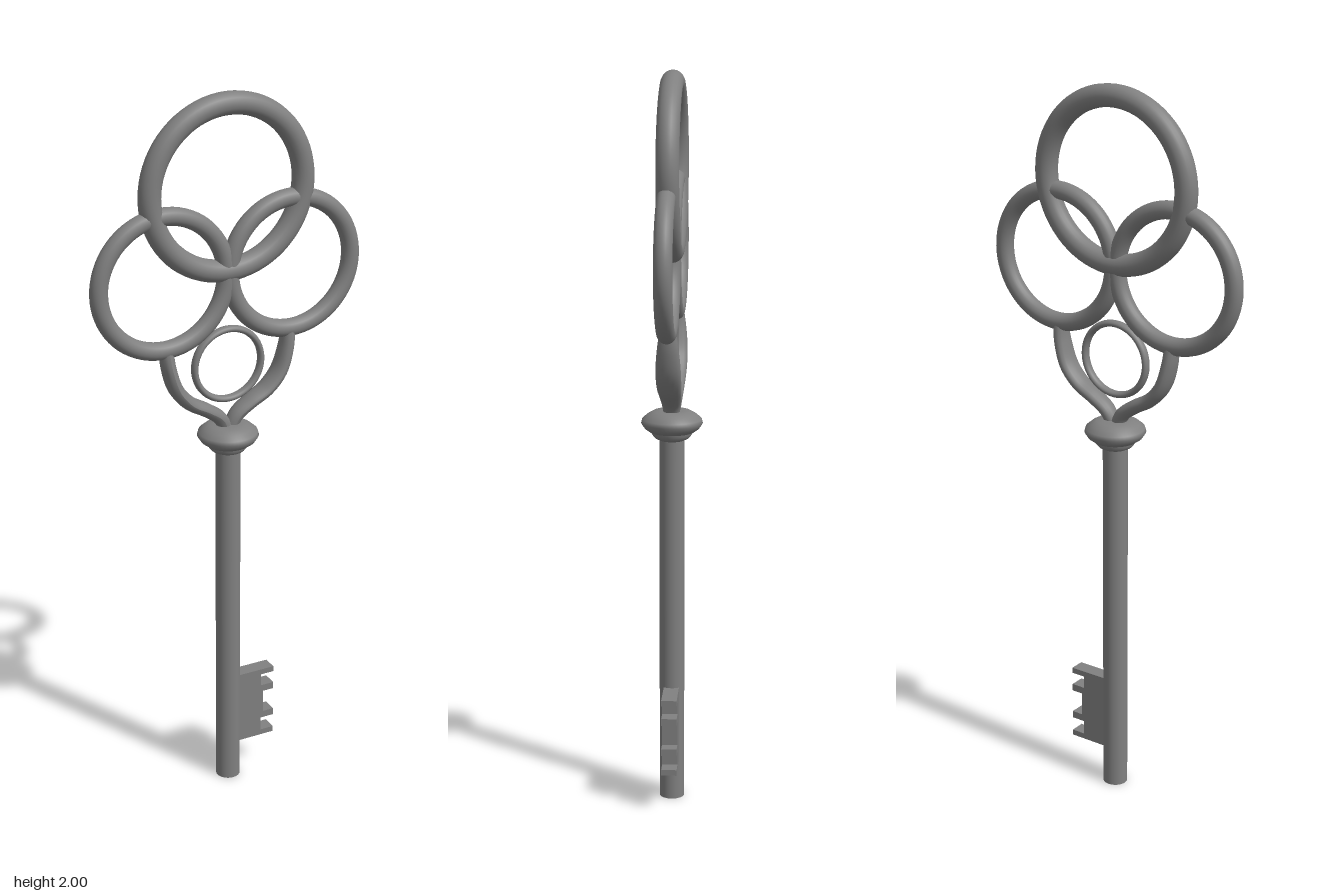
import * as THREE from 'three';

export function createModel() {
  const model = new THREE.Group();
  model.name = 'key';
  const metal = new THREE.MeshStandardMaterial({ color: 0x808080 });
  metal.name = 'grey metal';

  const add = (name, geometry, x = 0, y = 0, z = 0) => {
    const mesh = new THREE.Mesh(geometry, metal);
    mesh.name = name;
    mesh.position.set(x, y, z);
    model.add(mesh);
    return mesh;
  };
  const ring = (name, radius, tube, x, y, z = 0) =>
    add(name, new THREE.TorusGeometry(radius, tube, 20, 72), x, y, z);

  // Bow: three interlocking rings and a thin one inside the neck
  ring('topRing', 0.22, 0.03, 0, 1.75, -0.002);
  ring('leftRing', 0.18, 0.024, 0.186, 1.521);
  ring('rightRing', 0.18, 0.024, -0.186, 1.521);
  ring('smallRing', 0.098, 0.009, 0, 1.27).scale.z = 1.4;

  // Neck arms: curved tubes, deepest halfway along
  for (const side of [1, -1]) {
    const points = [
      [0.181, 1.35], [0.174, 1.29], [0.153, 1.225], [0.115, 1.18],
      [0.065, 1.15], [0.025, 1.12], [0.004, 1.08],
    ].map(([x, y]) => new THREE.Vector3(side * x, y, 0));
    const arm = new THREE.TubeGeometry(new THREE.CatmullRomCurve3(points), 48, 0.019, 16);
    const pos = arm.attributes.position;
    for (let i = 0; i < pos.count; i++) {
      const t = THREE.MathUtils.clamp((pos.getY(i) - 1.09) / 0.26, 0, 1);
      pos.setZ(i, pos.getZ(i) * (1.1 + 0.65 * Math.sin(Math.PI * t)));
    }
    arm.computeVertexNormals();
    add(side > 0 ? 'leftArm' : 'rightArm', arm);
  }

  // Collar: rounded disc above a small step
  const lathe = (pairs) =>
    new THREE.LatheGeometry(pairs.map(([r, y]) => new THREE.Vector2(r, y)), 48);
  add('collar', lathe([
    [0, 1.04], [0.06, 1.043], [0.074, 1.053], [0.083, 1.067],
    [0.08, 1.078], [0.066, 1.09], [0.05, 1.099], [0.03, 1.1], [0, 1.1],
  ]));
  add('collarStep', lathe([
    [0, 1.02], [0.034, 1.02], [0.046, 1.026], [0.054, 1.036], [0.055, 1.05],
  ]));

  // Shaft
  add('shaft', new THREE.CylinderGeometry(0.034, 0.034, 1.04, 40), 0, 0.52, 0);

  // Bit: plate with four teeth
  const outline = [
    [0.02, 0.11], [0.135, 0.11], [0.135, 0.126], [0.095, 0.126],
    [0.095, 0.166], [0.135, 0.166], [0.135, 0.186], [0.102, 0.186],
    [0.102, 0.253], [0.135, 0.253], [0.135, 0.273], [0.095, 0.273],
    [0.095, 0.309], [0.135, 0.309], [0.135, 0.325], [0.02, 0.325],
  ].map(([x, y]) => new THREE.Vector2(x, y));
  add('bit', new THREE.ExtrudeGeometry(new THREE.Shape(outline), {
    depth: 0.042, bevelEnabled: false,
  }), 0, 0, -0.021);

  return model;
}
